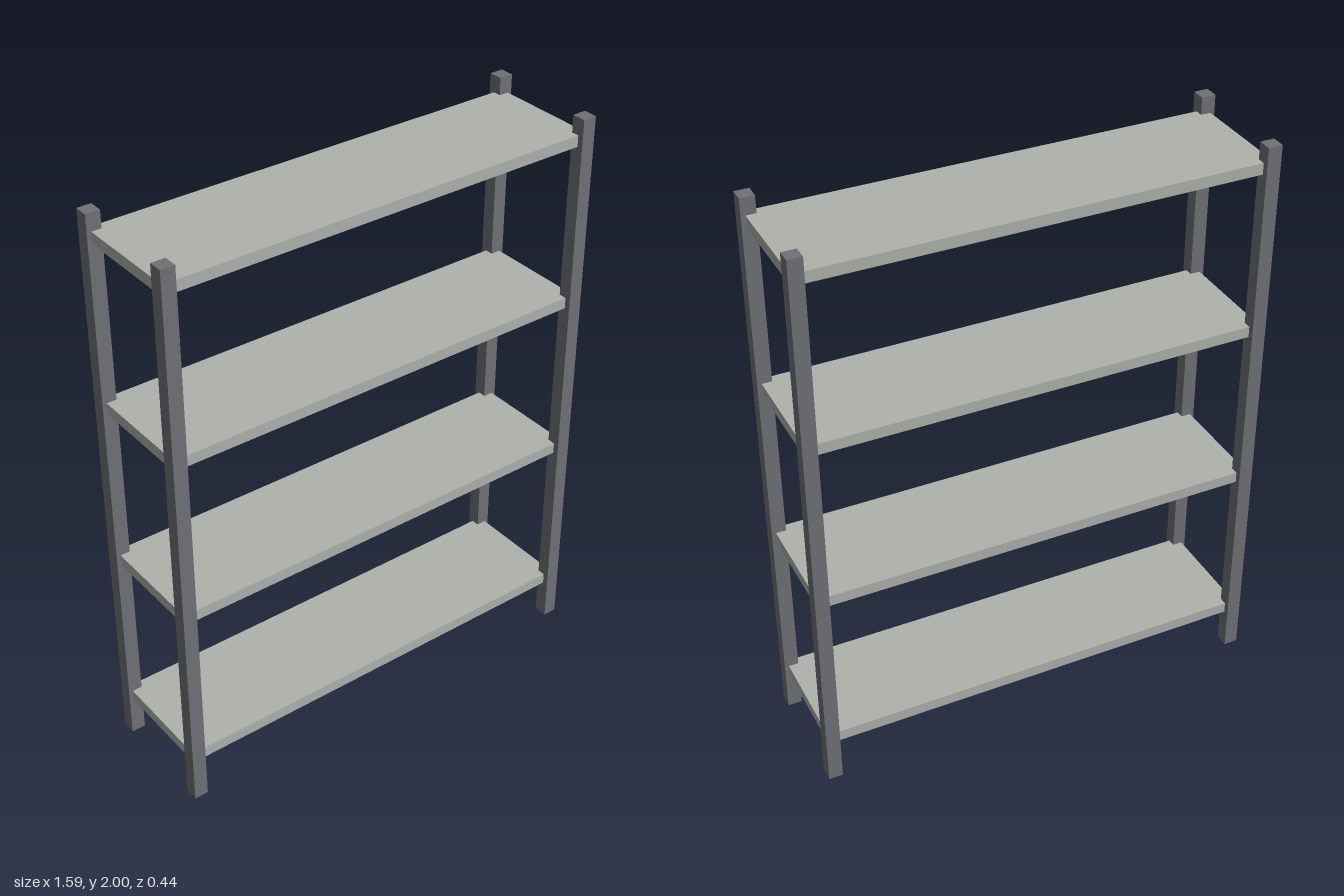
import * as THREE from 'three';

const POST = { size: 0.049, height: 2, x: 0.772, z: 0.197 };
const SHELF = { width: 1.564, thickness: 0.039, depth: 0.402, count: 4, firstY: 0.16, spacing: 0.587 };

export function createModel() {
  const model = new THREE.Group();
  model.name = 'shelvingUnit';

  const postMaterial = new THREE.MeshStandardMaterial({ color: 0x707276 });
  const shelfMaterial = new THREE.MeshStandardMaterial({ color: 0xb0b2ae });

  function addBox(name, geometry, material, x, y, z) {
    const mesh = new THREE.Mesh(geometry, material);
    mesh.name = name;
    mesh.position.set(x, y, z);
    model.add(mesh);
  }

  // Four square corner posts
  const postGeometry = new THREE.BoxGeometry(POST.size, POST.height, POST.size);
  for (const [side, sx] of [['Left', 1], ['Right', -1]]) {
    for (const [end, sz] of [['front', 1], ['back', -1]]) {
      addBox(`${end}${side}Post`, postGeometry, postMaterial, sx * POST.x, POST.height / 2, sz * POST.z);
    }
  }

  // Evenly spaced shelf boards, set into the posts
  const shelfGeometry = new THREE.BoxGeometry(SHELF.width, SHELF.thickness, SHELF.depth);
  for (let i = 0; i < SHELF.count; i++) {
    addBox(`shelf${i + 1}`, shelfGeometry, shelfMaterial, 0, SHELF.firstY + i * SHELF.spacing, 0);
  }

  return model;
}
